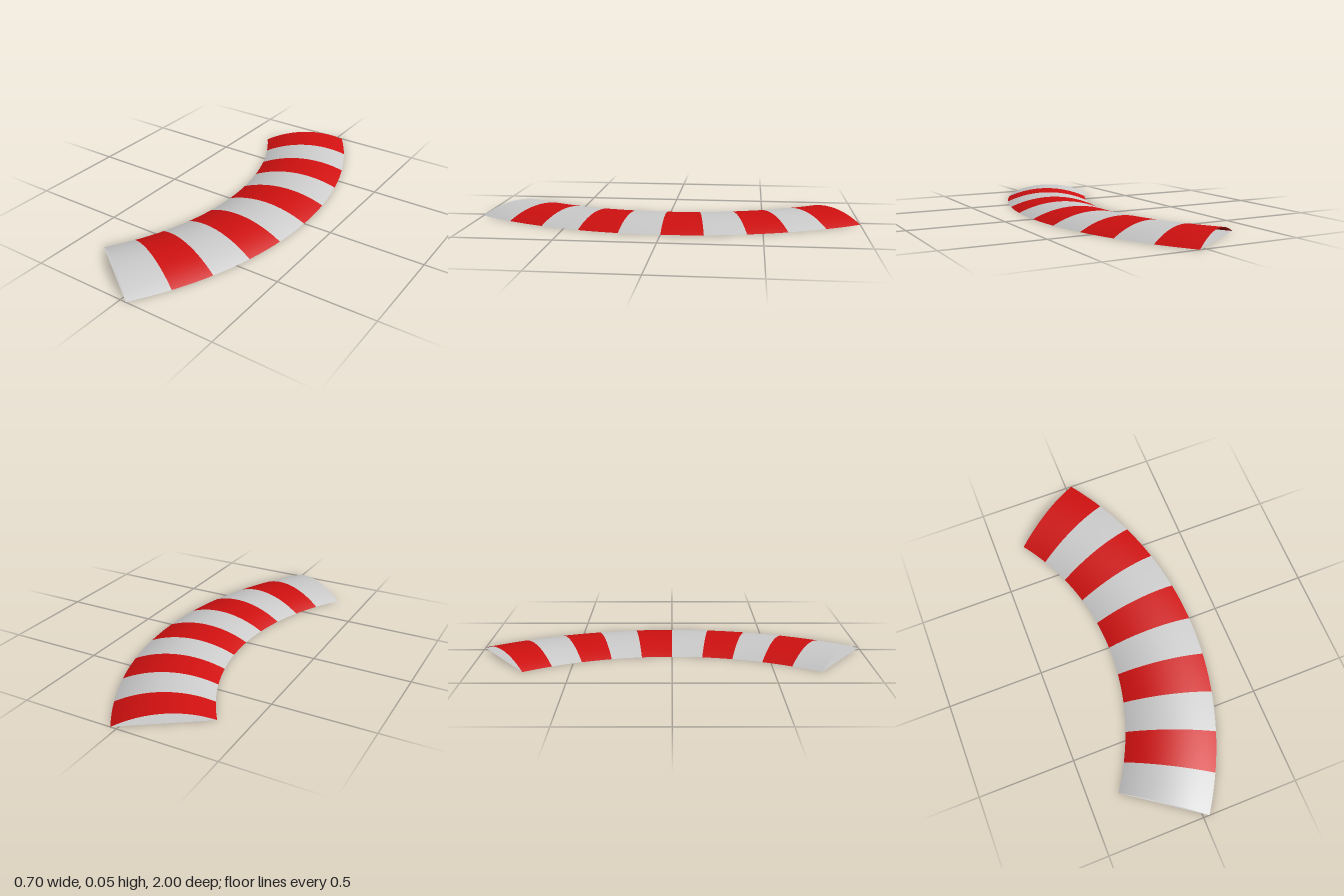
import * as THREE from 'three';
import { ParametricGeometry } from 'three/addons/geometries/ParametricGeometry.js';

const OUTER = 1.743, INNER = 1.279, CENTRE_X = -1.396, HEIGHT = 0.05;
const STRIPES = 10, SWEEP = THREE.MathUtils.degToRad(70);

// Circular-arc cross-section: height above the ground at v = 0..1 across the kerb
const half = (OUTER - INNER) / 2;
const arcRadius = (half * half + HEIGHT * HEIGHT) / (2 * HEIGHT);
const crown = (v) => {
  const d = (2 * v - 1) * half;
  return Math.max(0, Math.sqrt(arcRadius * arcRadius - d * d) - (arcRadius - HEIGHT));
};

// Sweeps a surface round the bend between two angles; the base is flat and faces down
function bend(a0, a1, slices, isBase) {
  return new ParametricGeometry((u, v, target) => {
    const a = THREE.MathUtils.lerp(a0, a1, u);
    const w = isBase ? 1 - v : v;
    const r = THREE.MathUtils.lerp(INNER, OUTER, w);
    target.set(r * Math.cos(a) + CENTRE_X, isBase ? 0 : crown(w), r * Math.sin(a));
  }, slices, isBase ? 1 : 32);
}

export function createModel() {
  const group = new THREE.Group();
  group.name = 'curvedKerb';
  const red = new THREE.MeshStandardMaterial({ color: 0xd01010, side: THREE.DoubleSide });
  const grey = new THREE.MeshStandardMaterial({ color: 0xcccccc, side: THREE.DoubleSide });

  const add = (name, geometry, material) => {
    const mesh = new THREE.Mesh(geometry, material);
    mesh.name = name;
    group.add(mesh);
  };

  // Alternating domed stripes, hollow and open at both ends
  const step = SWEEP / STRIPES;
  for (let i = 0; i < STRIPES; i++) {
    const a = -SWEEP / 2 + i * step;
    const isRed = i % 2 === 0;
    add(isRed ? 'redStripe' : 'greyStripe', bend(a, a + step, 8, false), isRed ? red : grey);
  }

  // Flat underside in two plates with a narrow joint
  add('backBase', bend(-SWEEP / 2, 0.035, 40, true), grey);
  add('frontBase', bend(0.045, SWEEP / 2, 40, true), grey);
  return group;
}
